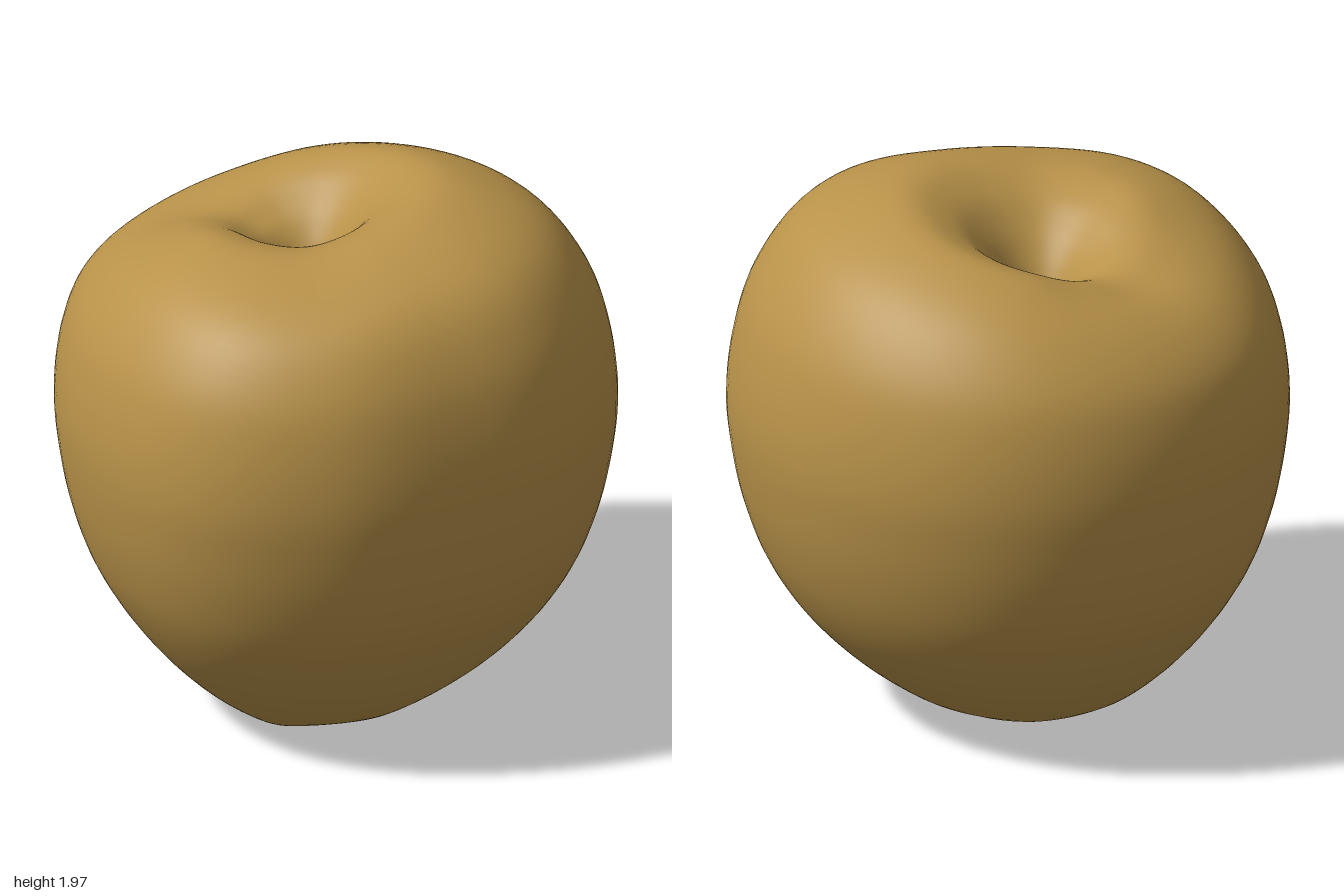
import * as THREE from 'three';

const TAU = Math.PI * 2, SEGMENTS = 96, RINGS = 110, WAIST = 1.15, CROWN = 1.95;

// Values every 30 degrees, from +x towards +z: girth, and height of the shoulder
const GIRTH = [0.99, 0.91, 0.95, 0.995, 0.97, 0.967, 0.995, 0.992, 0.995, 0.99, 1.003, 1.02];
const SHOULDER = [1.975, 1.94, 1.9, 1.895, 1.88, 1.81, 1.75, 1.79, 1.86, 1.91, 1.95, 1.98];

// Smooth periodic lookup
function around(table, angle) {
  const n = table.length, f = angle / TAU * n, i = Math.floor(f), t = f - i;
  const [a, b, c, d] = [-1, 0, 1, 2].map(k => table[(i + k + n) % n]);
  return b + 0.5 * t * (c - a + t * (2 * a - 5 * b + 4 * c - d + t * (3 * (b - c) + d - a)));
}

// Profile from the base hollow to the stem pit: radius, height, pit weight
const PROFILE = [
  [0.004, 0.13, 0], [0.07, 0.125, 0], [0.15, 0.085, 0], [0.26, 0.04, 0], [0.37, 0.058, 0],
  [0.565, 0.2, 0], [0.75, 0.4, 0], [0.873, 0.6, 0], [0.945, 0.8, 0], [0.985, 1.0, 0],
  [1.0, 1.18, 0], [0.977, 1.4, 0], [0.917, 1.6, 0], [0.79, 1.79, 0], [0.65, 1.89, 0],
  [0.46, 1.95, 0], [0.31, 1.9, 0.2], [0.2, 1.8, 0.45], [0.12, 1.69, 0.8], [0.05, 1.57, 1],
  [0.004, 1.54, 1],
].map(p => new THREE.Vector3(...p));

function fruitGeometry() {
  const curve = new THREE.CatmullRomCurve3(PROFILE, false, 'centripetal');
  const positions = [], index = [];
  for (let i = 0; i <= RINGS; i++) {
    const { x: r, y: h, z: pit } = curve.getPoint(i / RINGS);
    const top = h > WAIST;
    // Stem pit and base hollow sit off centre, so rings drift towards them
    const drift = 1 - THREE.MathUtils.smoothstep(r, 0.2, 0.85);
    const [cx, cz] = top ? [-0.135, -0.06] : [-0.03, 0.03];
    const uneven = THREE.MathUtils.smoothstep(r, 0.1, 0.8);
    // Shoulder height varies mostly close to the crown
    const tilt = top ? ((h - WAIST) / (CROWN - WAIST)) ** 2 * (1 - pit) : 0;
    // Lobes on the rim of the base
    const lobe = top ? 0 : Math.exp(-(((r - 0.28) / 0.1) ** 2));
    for (let j = 0; j < SEGMENTS; j++) {
      const a = j / SEGMENTS * TAU;
      const radius = r * THREE.MathUtils.lerp(1, around(GIRTH, a), uneven);
      const y = h + tilt * (around(SHOULDER, a) - CROWN)
        - lobe * (0.012 * Math.cos(5 * (a - Math.PI / 2)) + 0.018 * Math.sin(a));
      positions.push(radius * Math.cos(a) + cx * drift, y, radius * Math.sin(a) + cz * drift);
      if (i < RINGS) {
        const p = i * SEGMENTS + j, q = i * SEGMENTS + (j + 1) % SEGMENTS;
        index.push(p, p + SEGMENTS, q, q, p + SEGMENTS, q + SEGMENTS);
      }
    }
  }
  const geometry = new THREE.BufferGeometry();
  geometry.setAttribute('position', new THREE.Float32BufferAttribute(positions, 3));
  geometry.setIndex(index);
  geometry.computeVertexNormals();
  return geometry;
}

export function createModel() {
  const model = new THREE.Group();
  model.name = 'apple';
  const skin = new THREE.MeshStandardMaterial({ color: 0xb89249 });
  skin.name = 'golden brown skin';

  const add = (name, geometry, x, y, z) => {
    const mesh = new THREE.Mesh(geometry, skin);
    mesh.name = name;
    mesh.position.set(x, y, z);
    model.add(mesh);
  };

  add('fruit', fruitGeometry(), 0, 0, 0);

  // Low stem stub in the pit
  add('stemStub', new THREE.SphereGeometry(0.065, 20, 14), -0.14, 1.55, -0.035);

  // Five-sided dried blossom in the base hollow
  add('blossomEnd', new THREE.CylinderGeometry(0.05, 0.07, 0.06, 5), -0.03, 0.105, 0.03);
  return model;
}
